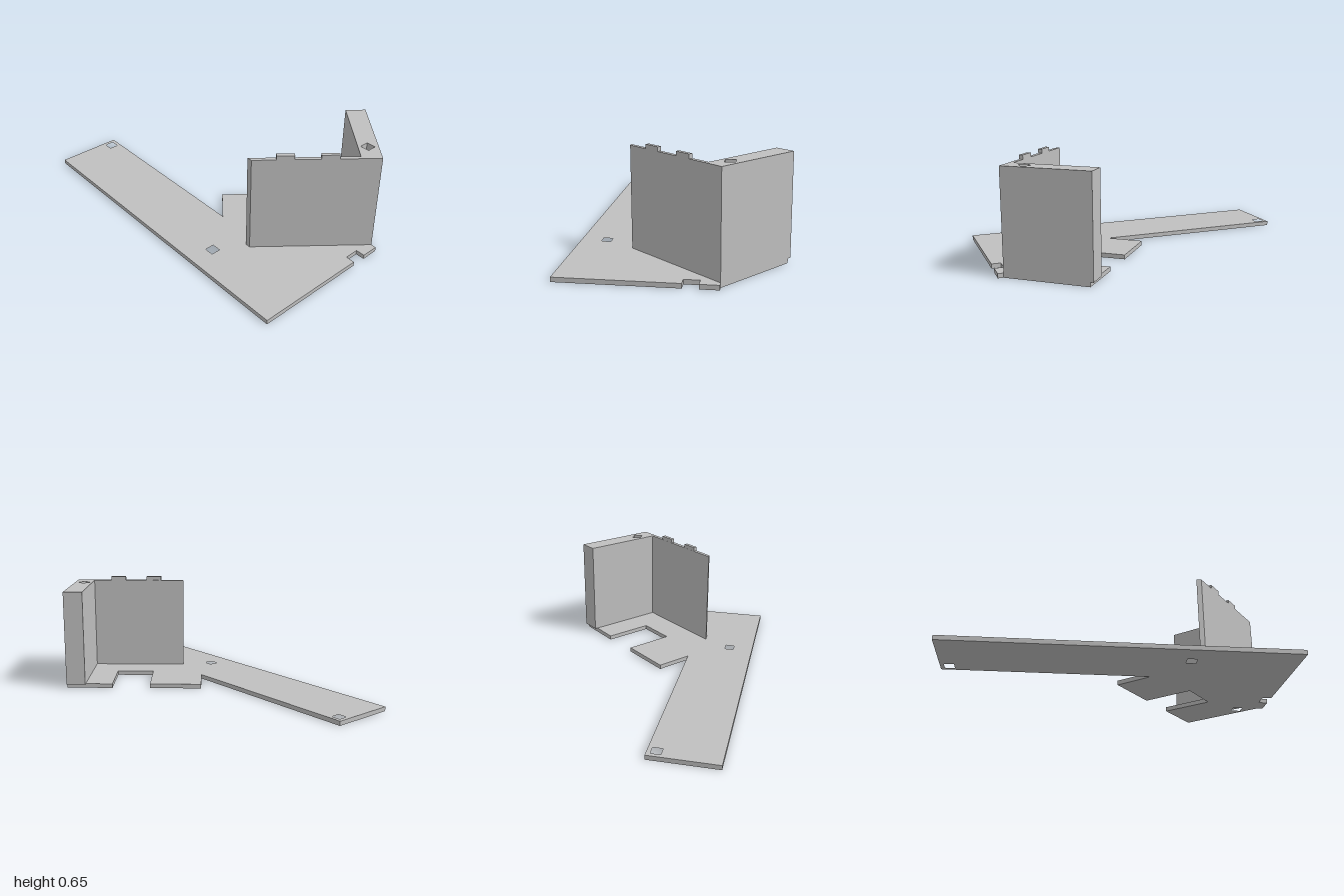
import * as THREE from 'three';

const grey = new THREE.MeshStandardMaterial({ color: 0xc0c0c0 });
grey.name = 'plain grey';

const toPoints = (pts) => pts.map(([x, z]) => new THREE.Vector2(x, -z));

// Plan outline in [x, z], raised from y0 to y1, with square holes through it
function slab(name, outline, y0, y1, holes = []) {
  const shape = new THREE.Shape(toPoints(outline));
  for (const [x, z] of holes) {
    const r = 0.028;
    shape.holes.push(new THREE.Path(toPoints([
      [x - r, z - r], [x + r, z - r], [x + r, z + r], [x - r, z + r],
    ])));
  }
  const geo = new THREE.ExtrudeGeometry(shape, { depth: y1 - y0, bevelEnabled: false });
  geo.rotateX(-Math.PI / 2).translate(0, y0, 0);
  const mesh = new THREE.Mesh(geo, grey);
  mesh.name = name;
  return mesh;
}

export function createModel() {
  const model = new THREE.Group();
  model.name = 'bracket';
  const baseTop = 0.027, wallTop = 0.625, tabTop = 0.65;
  const cornerHole = [0.294, 0.837];

  // Flat base with a long arm, two angled fingers and a front notch
  model.add(slab('basePlate', [
    [-0.61, -1], [-0.21, -1], [-0.21, 0.195], [-0.063, 0.02], [0.19, 0.23],
    [-0.008, 0.468], [0.177, 0.622], [0.375, 0.385], [0.596, 0.575],
    [0.262, 0.968], [0.262, 1], [0.157, 1], [0.157, 0.945], [0.07, 0.945],
    [0.07, 1], [-0.61, 1],
  ], 0, baseTop, [[-0.262, -0.948], [-0.459, 0.392], cornerHole]));

  // Thin wall and thick block meeting at the front corner
  model.add(slab('cornerWall', [
    [0.262, 0.968], [0.61, 0.56], [0.517, 0.484], [0.189, 0.876],
    [-0.283, 0.484], [-0.283, 0.515],
  ], baseTop, wallTop, [cornerHole]));

  // Tabs on the thin wall's top edge
  const outerZ = (x) => 0.968 - (0.262 - x) * 0.831;
  for (const [i, x] of [-0.18, 0.007].entries()) {
    const x2 = x + 0.077, dx = 0.015, dz = -0.018;
    model.add(slab(`wallTab${i + 1}`, [
      [x, outerZ(x)], [x2, outerZ(x2)],
      [x2 + dx, outerZ(x2) + dz], [x + dx, outerZ(x) + dz],
    ], wallTop, tabTop));
  }
  return model;
}
